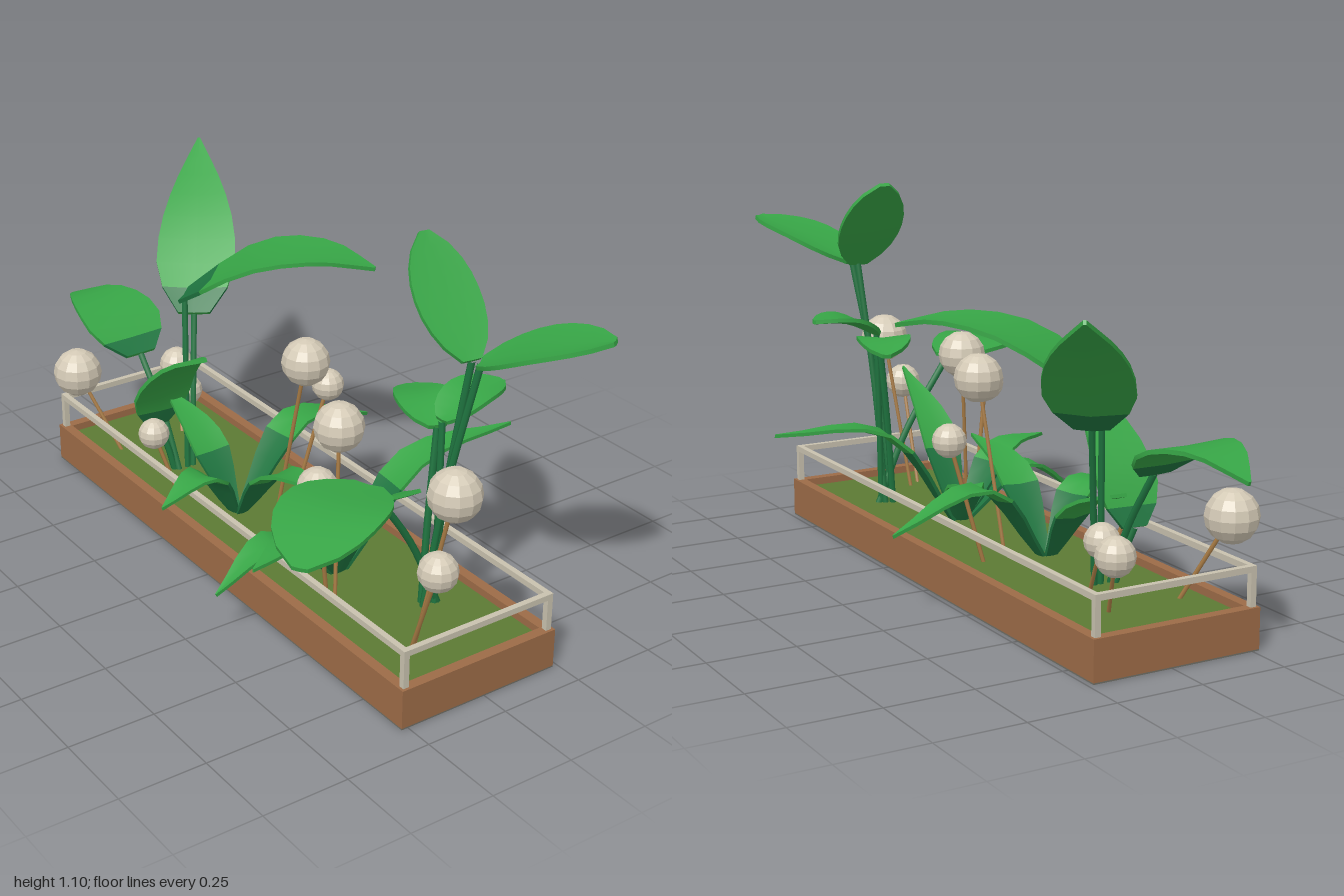
import * as THREE from 'three';
import { toCreasedNormals } from 'three/addons/utils/BufferGeometryUtils.js';

const mat = (name, color) => {
  const m = new THREE.MeshStandardMaterial({ color });
  m.name = name;
  return m;
};
const M = {
  wood: mat('wood', 0x9c6b47),
  base: mat('baseGrey', 0x6e6d64),
  soil: mat('mossySoil', 0x5c7a34),
  rail: mat('paleMetal', 0xc8c1ae),
  bloom: mat('creamBloom', 0xd4cab6),
  stalk: mat('tanStalk', 0xa97c45),
  leaf: mat('leafGreen', 0x37a546),
  stem: mat('darkGreen', 0x1f7540),
};
M.bloom.flatShading = true;

// Half-width profiles from base to tip
const ROUND = [0.3, 0.68, 0.88, 0.98, 1, 0.95, 0.82, 0.58, 0.15];
const POINTED = [0.4, 0.82, 1, 0.98, 0.88, 0.72, 0.52, 0.28, 0.03];
const BLADE = [0.3, 0.55, 0.8, 1, 0.95, 0.78, 0.55, 0.28, 0.03];

const curveOf = pts => new THREE.CatmullRomCurve3(pts.map(p => new THREE.Vector3(...p)));

// Thin closed leaf swept along a midrib; the first darkRows rows are dark green
function leafGeometry(pts, width, profile, darkRows = 0, cup = 0.12, thick = 0.006) {
  const curve = curveOf(pts), rows = profile.length - 1, pos = [], idx = [];
  const up = new THREE.Vector3(0, 1, 0);
  for (let i = 0; i <= rows; i++) {
    const p = curve.getPoint(i / rows), t = curve.getTangent(i / rows);
    const s = t.clone().cross(up).normalize(), n = s.clone().cross(t).normalize();
    const w = width * profile[i];
    const ring = [[-1, 1], [0, 1], [1, 1], [1, -1], [0, -1], [-1, -1]];
    for (const [side, face] of ring) {
      const lift = Math.abs(side) * cup * w + face * thick;
      const v = p.clone().addScaledVector(s, side * w).addScaledVector(n, lift);
      pos.push(v.x, v.y, v.z);
    }
  }
  for (let i = 0; i < rows; i++) {
    for (let j = 0; j < 6; j++) {
      const a = i * 6 + j, b = i * 6 + (j + 1) % 6;
      idx.push(a, b, b + 6, a, b + 6, a + 6);
    }
  }
  const e = rows * 6;
  for (const [a, b] of [[1, 4], [2, 3]]) {
    const c = a === 1 ? 0 : 1, d = a === 1 ? 5 : 4;
    idx.push(c, d, b, c, b, a);
    idx.push(e + c, e + b, e + d, e + c, e + a, e + b);
  }
  const g = new THREE.BufferGeometry();
  g.setAttribute('position', new THREE.Float32BufferAttribute(pos, 3));
  g.setIndex(idx);
  g.addGroup(0, darkRows * 36, 0);
  g.addGroup(darkRows * 36, idx.length - darkRows * 36, 1);
  return toCreasedNormals(g, 0.7);
}

export function createModel() {
  const model = new THREE.Group();
  model.name = 'planter';
  const add = (parent, name, geo, material) => {
    const m = new THREE.Mesh(geo, material);
    m.name = name;
    parent.add(m);
    return m;
  };
  const group = name => {
    const g = new THREE.Group();
    g.name = name;
    model.add(g);
    return g;
  };
  // Box from min and max corners
  const box = (parent, name, x0, x1, y0, y1, z0, z1, material) =>
    add(parent, name, new THREE.BoxGeometry(x1 - x0, y1 - y0, z1 - z0), material)
      .position.set((x0 + x1) / 2, (y0 + y1) / 2, (z0 + z1) / 2);
  const tube = (parent, name, pts, r, material) =>
    add(parent, name, new THREE.TubeGeometry(curveOf(pts), pts.length > 2 ? 10 : 1, r, 6), material);

  // Wooden trough
  const X0 = -0.27, X1 = 0.235, Z0 = -0.87, Z1 = 0.915, W = 0.03, H = 0.117;
  const trough = group('trough');
  box(trough, 'basePlate', X0, X1, 0, 0.004, Z0, Z1, M.base);
  box(trough, 'soil', X0 + W, X1 - W, 0.004, 0.095, Z0 + W, Z1 - W, M.soil);
  box(trough, 'rightWall', X0, X0 + W, 0.004, H, Z0, Z1, M.wood);
  box(trough, 'leftWall', X1 - W, X1, 0.004, H, Z0, Z1, M.wood);
  box(trough, 'frontWall', X0 + W, X1 - W, 0.004, H, Z1 - W, Z1, M.wood);
  box(trough, 'backWall', X0 + W, X1 - W, 0.004, H, Z0, Z0 + W, M.wood);

  // Guard rail
  const rail = group('guardRail'), R = 0.017, I = 0.008, T = 0.227;
  for (const x of [X0 + I, X1 - I - R]) {
    box(rail, 'sideRail', x, x + R, T - R, T, Z0 + I, Z1 - I, M.rail);
    for (const z of [Z0 + I, Z1 - I - R]) box(rail, 'post', x, x + R, H, T - R, z, z + R, M.rail);
  }
  for (const z of [Z0 + I, Z1 - I - R])
    box(rail, 'endRail', X0 + I + R, X1 - I - R, T - R, T, z, z + R, M.rail);

  // Ball blooms: centre, radius, foot x and z
  const blooms = group('ballBlooms');
  for (const [x, y, z, r, fx, fz] of [
    [-0.142, 0.405, 0.88, 0.054, -0.13, 0.76], [-0.047, 0.567, 0.82, 0.073, -0.09, 0.73],
    [-0.206, 0.47, 0.45, 0.056, -0.15, 0.42], [-0.085, 0.583, 0.378, 0.07, -0.13, 0.43],
    [0.062, 0.592, 0.013, 0.07, 0.03, -0.08], [0.205, 0.446, -0.077, 0.048, 0.115, -0.11],
    [-0.237, 0.303, -0.335, 0.046, -0.18, -0.29], [0.037, 0.268, -0.595, 0.049, 0, -0.48],
    [-0.25, 0.337, -0.767, 0.074, -0.17, -0.65], [0.1, 0.277, -0.755, 0.054, 0.05, -0.65],
  ]) {
    add(blooms, 'bloom', new THREE.SphereGeometry(r, 12, 8), M.bloom).position.set(x, y, z);
    tube(blooms, 'stalk', [[fx, 0.09, fz], [x, y, z]], 0.006, M.stalk);
  }

  // Paddle-leaved plants: foot, midrib points, half width, cup
  const paddlePlant = (name, profile, dark, leaves) => {
    const plant = group(name);
    for (const [foot, rib, width, cup] of leaves) {
      const b = rib[0];
      const mid = [foot[0] + (b[0] - foot[0]) * 0.4, (foot[1] + b[1]) / 2, foot[2] + (b[2] - foot[2]) * 0.4];
      tube(plant, 'leafStem', [foot, mid, b], 0.01, M.stem);
      add(plant, 'paddleLeaf', leafGeometry(rib, width, profile, dark, cup), [M.stem, M.leaf]);
    }
  };
  paddlePlant('frontPlant', ROUND, 0, [
    [[0.04, 0.09, 0.6], [[0.12, 0.835, 0.7], [0.21, 0.905, 0.84], [0.305, 0.955, 0.985]], 0.115, 0.15],
    [[0.07, 0.09, 0.59], [[0.115, 0.835, 0.67], [0.13, 0.965, 0.54], [0.145, 1.1, 0.42]], 0.095, 0.05],
    [[0.08, 0.09, 0.6], [[0.1, 0.63, 0.58], [0.2, 0.675, 0.575], [0.31, 0.685, 0.57]], 0.075, 0.2],
    [[0.05, 0.09, 0.58], [[0.1, 0.605, 0.56], [0.14, 0.635, 0.45], [0.19, 0.61, 0.33]], 0.08, 0.1],
    [[0.09, 0.09, 0.6], [[-0.16, 0.53, 0.61], [-0.34, 0.55, 0.7], [-0.52, 0.51, 0.82]], 0.14, 0.08],
  ]);
  paddlePlant('backPlant', POINTED, 1, [
    [[-0.06, 0.09, -0.44], [[-0.02, 0.63, -0.5], [0.13, 0.77, -0.33], [0.26, 0.805, -0.18], [0.357, 0.78, -0.06]], 0.135, 0.08],
    [[-0.04, 0.09, -0.44], [[0.03, 0.55, -0.53], [0.18, 0.76, -0.74], [0.33, 0.925, -0.965]], 0.12, 0.1],
    [[-0.09, 0.09, -0.44], [[-0.12, 0.43, -0.6], [-0.125, 0.52, -0.72], [-0.13, 0.54, -0.86], [-0.13, 0.49, -0.995]], 0.125, 0.03],
    [[-0.1, 0.09, -0.45], [[-0.14, 0.25, -0.48], [-0.145, 0.39, -0.42], [-0.15, 0.515, -0.3], [-0.155, 0.583, -0.17]], 0.09, 0.03],
  ]);

  // Rosettes of arching blades: mid and tip points per blade
  const rosette = (name, cx, cz, blades) => {
    const plant = group(name);
    for (const [mid, tip] of blades) {
      const foot = [cx + (mid[0] - cx) * 0.1, 0.09, cz + (mid[2] - cz) * 0.1];
      add(plant, 'blade', leafGeometry([foot, mid, tip], 0.058, BLADE, 3, 0.15, 0.005), [M.stem, M.leaf]);
    }
  };
  rosette('middleRosette', -0.08, -0.13, [
    [[-0.23, 0.27, -0.08], [-0.39, 0.235, -0.04]],
    [[0.15, 0.315, -0.16], [0.44, 0.235, -0.195]],
    [[-0.08, 0.3, 0.08], [-0.08, 0.35, 0.31]],
    [[-0.09, 0.27, -0.3], [-0.1, 0.35, -0.5]],
  ]);
  rosette('frontRosette', -0.04, 0.31, [
    [[0.2, 0.375, 0.335], [0.535, 0.407, 0.36]],
    [[-0.25, 0.24, 0.3], [-0.43, 0.14, 0.3]],
    [[-0.22, 0.275, 0.38], [-0.41, 0.285, 0.45]],
    [[-0.035, 0.35, 0.46], [-0.03, 0.5, 0.66]],
    [[0.0, 0.22, 0.2], [0.04, 0.24, 0.05]],
  ]);
  return model;
}
